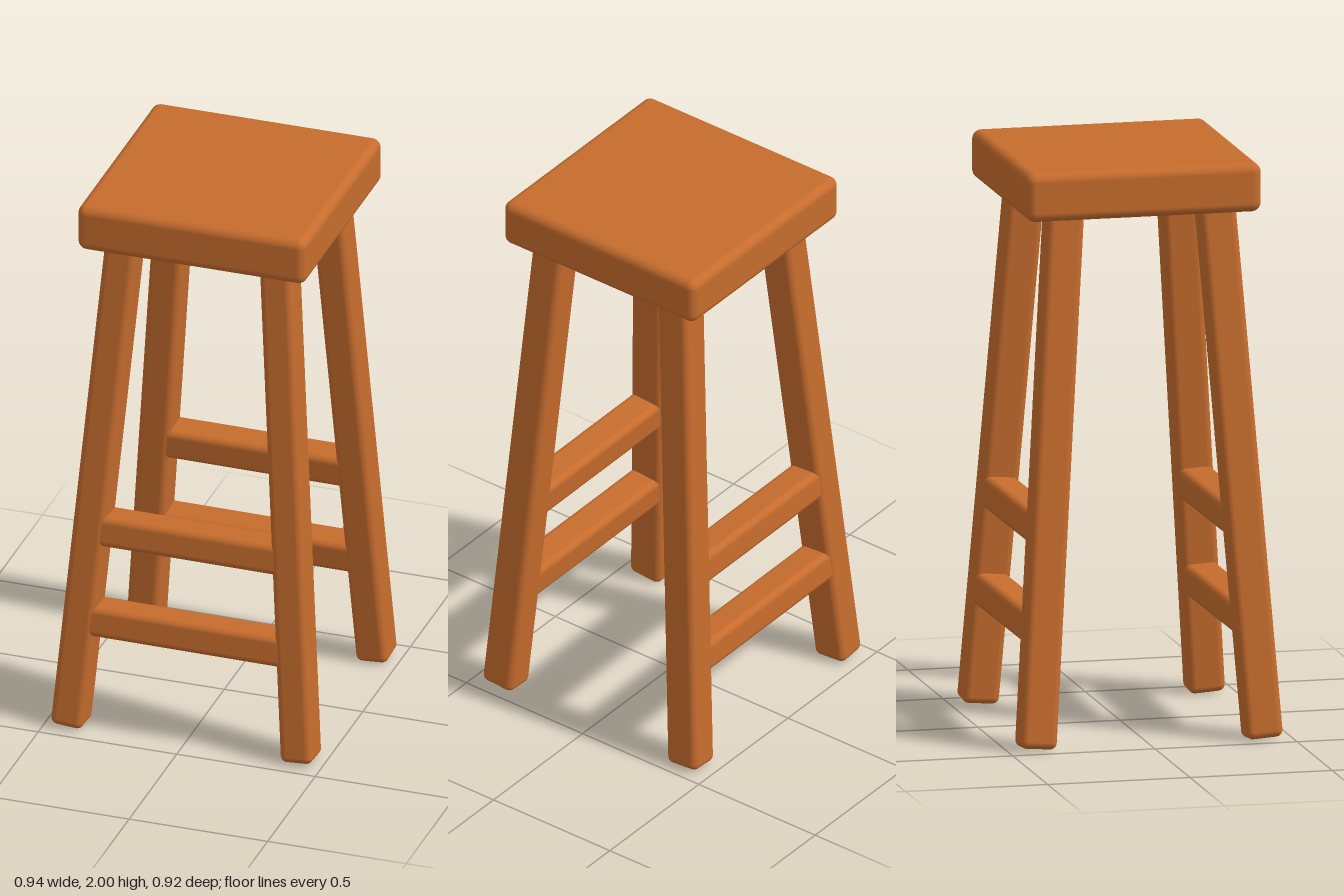
import * as THREE from 'three';
import { RoundedBoxGeometry } from 'three/addons/geometries/RoundedBoxGeometry.js';

export function createModel() {
  const stool = new THREE.Group();
  stool.name = 'stool';
  const wood = new THREE.MeshStandardMaterial({ color: 0xc66c2d });
  wood.name = 'warm wood';

  const addBar = (name, w, h, d, radius) => {
    const mesh = new THREE.Mesh(new RoundedBoxGeometry(w, h, d, 4, radius), wood);
    mesh.name = name;
    stool.add(mesh);
    return mesh;
  };

  // Square seat slab, slightly off centre over the legs
  addBar('seat', 0.825, 0.17, 0.825, 0.032).position.set(0.016, 1.915, -0.009);

  // Splayed legs: foot and top centres, [x, z]
  const up = new THREE.Vector3(0, 1, 0);
  const footY = 0.007, topY = 1.87;
  const xs = { right: [-0.417, -0.261], left: [0.414, 0.291] };
  const zs = { front: [0.398, 0.266], back: [-0.399, -0.262] };
  for (const [end, [z0, z1]] of Object.entries(zs)) {
    for (const [side, [x0, x1]] of Object.entries(xs)) {
      const foot = new THREE.Vector3(x0, footY, z0);
      const axis = new THREE.Vector3(x1, topY, z1).sub(foot);
      const leg = addBar(`${end} ${side} leg`, 0.115, axis.length(), 0.128, 0.024);
      leg.position.copy(foot).addScaledVector(axis, 0.5);
      leg.quaternion.setFromUnitVectors(up, axis.normalize());
    }

    // Two rungs per end, leaning with the legs and set into them
    const slope = (z1 - z0) / (topY - footY);
    for (const [label, y, length] of [['lower', 0.41, 0.74], ['upper', 0.75, 0.69]]) {
      const rung = addBar(`${end} ${label} rung`, length, 0.113, 0.12, 0.024);
      rung.position.set(0.004, y, z0 + slope * (y - footY));
      rung.rotation.set(Math.atan(slope), 0, -0.006);
    }
  }
  return stool;
}
